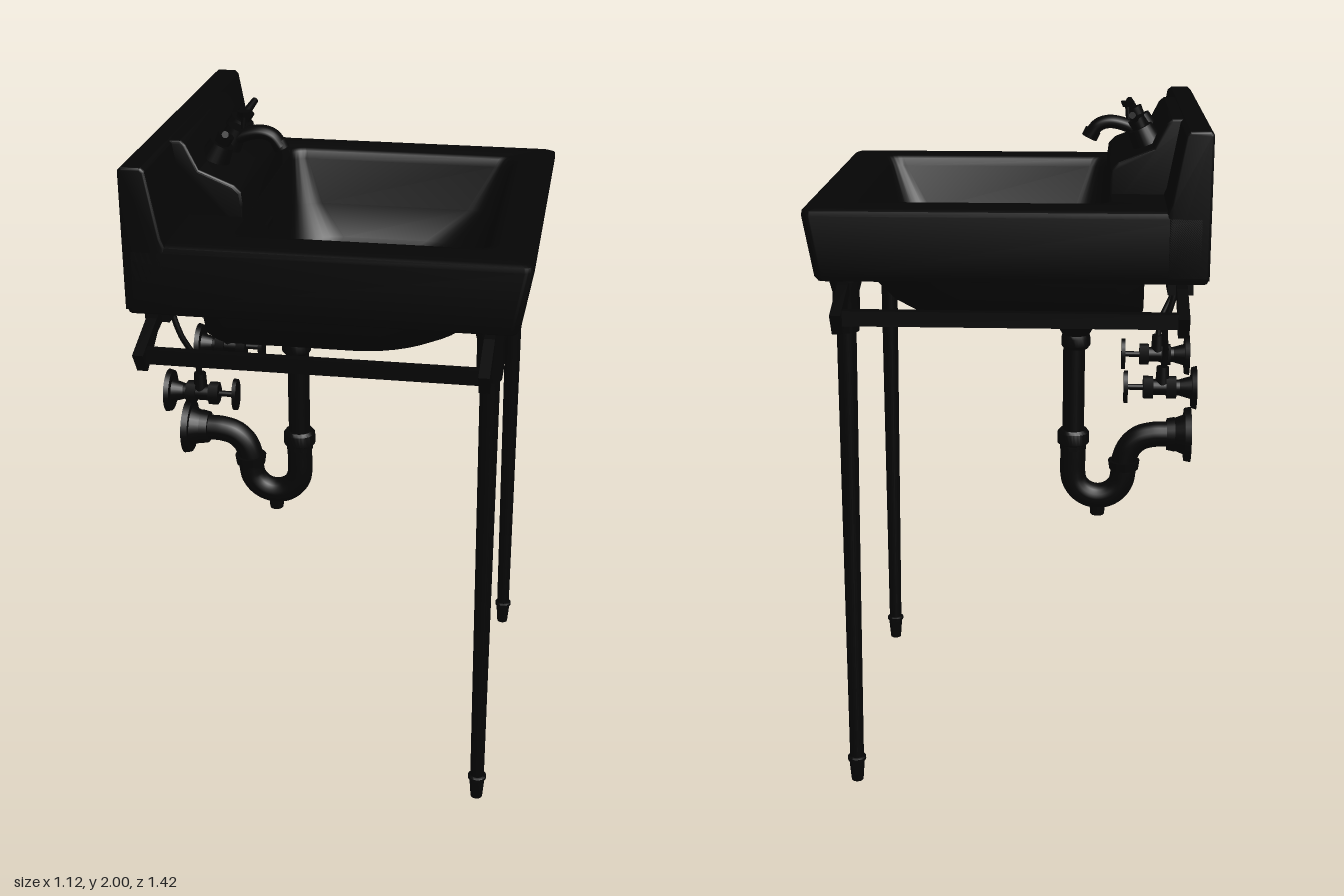
import * as THREE from 'three';
import { mergeVertices, toCreasedNormals } from 'three/addons/utils/BufferGeometryUtils.js';

const mat = new THREE.MeshStandardMaterial({ color: 0x050505 });
const V = (x, y, z) => new THREE.Vector3(x, y, z);

function add(parent, geo, name, x = 0, y = 0, z = 0) {
  const m = new THREE.Mesh(geo, mat);
  m.name = name;
  m.position.set(x, y, z);
  parent.add(m);
  return m;
}

// Cylinder between two points
function rod(parent, a, b, ra, rb, name, seg = 24) {
  const dir = b.clone().sub(a);
  const m = add(parent, new THREE.CylinderGeometry(rb, ra, dir.length(), seg), name);
  m.position.copy(a).add(b).multiplyScalar(0.5);
  m.quaternion.setFromUnitVectors(V(0, 1, 0), dir.normalize());
  return m;
}

function tube(parent, pts, r, name, seg = 64) {
  return add(parent, new THREE.TubeGeometry(new THREE.CatmullRomCurve3(pts), seg, r, 16), name);
}

const lathe = pts => toCreasedNormals(
  new THREE.LatheGeometry(pts.map(p => new THREE.Vector2(...p)), 28), 0.7);

// Profile in x/y extruded symmetrically along z
function slab(parent, pts, halfZ, bevel, name) {
  const s = new THREE.Shape(pts.map(p => new THREE.Vector2(...p)));
  const depth = 2 * (halfZ - bevel);
  const g = new THREE.ExtrudeGeometry(s, {
    depth, bevelEnabled: bevel > 0, bevelSize: bevel, bevelOffset: -bevel,
    bevelThickness: bevel, bevelSegments: 3
  });
  g.translate(0, 0, -depth / 2);
  return add(parent, toCreasedNormals(g, 0.6), name);
}

// Stacked rounded rectangles: [y, xMin, xMax, zHalf, front radius, back radius]
function loft(rings) {
  const pos = [], idx = [], per = 12, n = per * 4;
  for (const [y, x0, x1, zh, r, rb = r] of rings) {
    const cs = [[x1 - r, zh - r, r], [x0 + rb, zh - rb, rb], [x0 + rb, rb - zh, rb], [x1 - r, r - zh, r]];
    cs.forEach(([cx, cz, rad], q) => {
      for (let k = 0; k < per; k++) {
        const a = (q + k / (per - 1)) * Math.PI / 2;
        pos.push(cx + rad * Math.cos(a), y, cz + rad * Math.sin(a));
      }
    });
  }
  for (let j = 0; j < rings.length - 1; j++)
    for (let i = 0; i < n; i++) {
      const a = j * n + i, b = j * n + (i + 1) % n;
      idx.push(a, a + n, b, b, a + n, b + n);
    }
  const g = new THREE.BufferGeometry();
  g.setAttribute('position', new THREE.Float32BufferAttribute(pos, 3));
  g.setIndex(idx);
  return toCreasedNormals(mergeVertices(g), 0.75);
}

export function createModel() {
  const model = new THREE.Group();
  model.name = 'washbasin';

  // Basin: underside of the bowl, apron, rim, then the inside of the bowl
  add(model, loft([
    [1.316, -0.08, -0.07, 0.002, 0.001],
    [1.317, -0.13, 0.0, 0.035, 0.034],
    [1.325, -0.2, 0.1, 0.06, 0.058],
    [1.345, -0.27, 0.18, 0.085, 0.08],
    [1.36, -0.36, 0.215, 0.13, 0.125, 0.06],
    [1.37, -0.375, 0.24, 0.2, 0.18, 0.08],
    [1.385, -0.382, 0.275, 0.27, 0.24, 0.08],
    [1.41, -0.388, 0.32, 0.35, 0.28, 0.08],
    [1.45, -0.39, 0.36, 0.415, 0.28, 0.08],
    [1.5, -0.39, 0.395, 0.442, 0.26, 0.08],
    [1.57, -0.39, 0.415, 0.45, 0.2, 0.08],
    [1.57, -0.555, 0.515, 0.555, 0.02],
    [1.582, -0.56, 0.525, 0.56, 0.025],
    [1.75, -0.56, 0.555, 0.56, 0.025],
    [1.764, -0.56, 0.553, 0.557, 0.025],
    [1.77, -0.558, 0.54, 0.545, 0.025],
    [1.77, -0.292, 0.44, 0.44, 0.05],
    [1.762, -0.285, 0.43, 0.43, 0.05],
    [1.74, -0.28, 0.42, 0.422, 0.05],
    [1.6, -0.272, 0.38, 0.4, 0.09],
    [1.5, -0.265, 0.32, 0.365, 0.16],
    [1.44, -0.255, 0.24, 0.3, 0.18, 0.12],
    [1.41, -0.245, 0.13, 0.2, 0.16, 0.12],
    [1.39, -0.23, -0.04, 0.08, 0.07],
    [1.385, -0.19, -0.185, 0.002, 0.001]
  ]), 'basin');
  add(model, new THREE.CylinderGeometry(0.04, 0.04, 0.012, 24), 'drainStrainer', -0.19, 1.39, 0);
  add(model, new THREE.BoxGeometry(0.012, 0.018, 0.09), 'overflowSlot', -0.274, 1.66, 0);

  // Backsplash and the raised faucet ledge
  slab(model, [[-0.56, 1.58], [-0.56, 1.975], [-0.55, 1.985], [-0.495, 1.985], [-0.484, 1.975],
    [-0.45, 1.79], [-0.44, 1.765], [-0.44, 1.58]], 0.56, 0.008, 'backsplash');
  slab(model, [[-0.53, 1.7], [-0.53, 1.983], [-0.46, 1.983], [-0.445, 1.97], [-0.41, 1.9], [-0.31, 1.86],
    [-0.29, 1.84], [-0.285, 1.8], [-0.285, 1.72]], 0.28, 0.008, 'faucetLedge');

  // Faucet
  const faucet = new THREE.Group();
  faucet.name = 'faucet';
  model.add(faucet);
  rod(faucet, V(-0.4, 1.87, 0), V(-0.36, 1.95, 0), 0.042, 0.03, 'spoutBase');
  tube(faucet, [V(-0.4, 1.89, 0), V(-0.35, 1.925, 0), V(-0.29, 1.94, 0), V(-0.255, 1.93, 0),
    V(-0.23, 1.9, 0)], 0.02, 'spout').scale.z = 1.5;
  rod(faucet, V(-0.239, 1.915, 0), V(-0.228, 1.892, 0), 0.024, 0.024, 'spoutTip');
  rod(faucet, V(-0.345, 1.93, 0), V(-0.34, 1.985, 0), 0.007, 0.007, 'popUpStem');
  add(faucet, new THREE.CylinderGeometry(0.02, 0.014, 0.016, 20), 'popUpKnob', -0.34, 1.992, 0);
  for (const s of [-1, 1]) {
    rod(faucet, V(-0.4, 1.89, s * 0.135), V(-0.375, 1.94, s * 0.135), 0.046, 0.036, 'handleBase');
    rod(faucet, V(-0.375, 1.94, s * 0.135), V(-0.362, 1.965, s * 0.135), 0.022, 0.025, 'handleHub');
    rod(faucet, V(-0.365, 1.958, s * 0.125), V(-0.35, 1.982, s * 0.195), 0.013, 0.01, 'handleLever');
  }

  for (const s of [-1, 1]) {
    // Front legs with sockets and feet
    const leg = new THREE.Group();
    leg.name = 'frontLeg';
    model.add(leg);
    rod(leg, V(0.455, 0.06, s * 0.509), V(0.446, 1.44, s * 0.496), 0.021, 0.028, 'legTube');
    add(leg, lathe([[0, 0], [0.018, 0], [0.023, 0.06], [0.023, 0.068], [0.028, 0.07],
      [0.028, 0.078], [0.022, 0.082], [0, 0.082]]), 'foot', 0.455, 0, s * 0.509);
    add(leg, lathe([[0, 1.415], [0.034, 1.415], [0.038, 1.45], [0.038, 1.53], [0.046, 1.56],
      [0.046, 1.58], [0, 1.58]]), 'legSocket', 0.445, 0, s * 0.493);

    // Towel rail with flared brackets
    const rail = new THREE.Group();
    rail.name = 'towelRail';
    model.add(rail);
    const shape = new THREE.Shape([[0.48, 1.575], [0.48, 1.535], [0.555, 1.52], [0.67, 1.45],
      [0.708, 1.51], [0.56, 1.56]].map(p => new THREE.Vector2(...p)));
    const bracket = new THREE.ExtrudeGeometry(shape, { depth: 0.03, bevelEnabled: false });
    bracket.translate(0, 0, -0.015);
    for (const x of [-0.487, 0.445])
      add(rail, bracket, 'railBracket', x).rotation.y = -s * Math.PI / 2;
    add(rail, new THREE.BoxGeometry(0.932, 0.042, 0.026), 'railBar', -0.021, 1.496, s * 0.667);
    add(rail, new THREE.BoxGeometry(0.07, 0.05, 0.1), 'wallLug', -0.485, 1.555, s * 0.46);

    // Water supply: wall flange, valve, wheel and riser
    const supply = new THREE.Group();
    supply.name = 'waterSupply';
    model.add(supply);
    const z = s * 0.187, y = 1.17;
    const xr = s > 0 ? -0.53 : -0.485;
    rod(supply, V(-0.56, y, z), V(-0.545, y, z), 0.066, 0.062, 'wallFlange', 32);
    rod(supply, V(-0.545, y, z), V(-0.51, y, z), 0.035, 0.025, 'flangeCollar');
    rod(supply, V(-0.52, y, z), V(-0.42, y, z), 0.024, 0.024, 'valveBody');
    for (const x of [-0.5, -0.43])
      rod(supply, V(x, y, z), V(x + 0.03, y, z), 0.035, 0.035, 'valveNut', 6);
    rod(supply, V(-0.42, y, z), V(-0.345, y, z), 0.009, 0.009, 'valveStem');
    rod(supply, V(-0.354, y, z), V(-0.342, y, z), 0.05, 0.05, 'valveWheel', 28).scale.z = 0.75;
    rod(supply, V(-0.458, y, z), V(-0.458, 1.235, z), 0.022, 0.018, 'riserNut');
    tube(supply, [V(-0.458, 1.22, z), V(-0.465, 1.28, s * 0.195), V(xr + 0.025, 1.37, s * 0.215),
      V(xr, 1.47, s * 0.215), V(xr + 0.01, 1.57, s * 0.2)], 0.009, 'riser', 40);
    rod(supply, V(xr + 0.01, 1.53, s * 0.2), V(xr + 0.01, 1.58, s * 0.2), 0.02, 0.032, 'riserTopNut', 12);
  }

  // Drain and trap
  const drain = new THREE.Group();
  drain.name = 'drain';
  model.add(drain);
  add(drain, lathe([[0, 1.24], [0.037, 1.24], [0.045, 1.25], [0.045, 1.275], [0.042, 1.285],
    [0.062, 1.32], [0.08, 1.36], [0.08, 1.375], [0, 1.375]]), 'drainCone', -0.195, 0, 0);
  rod(drain, V(-0.19, 0.9, 0), V(-0.19, 1.26, 0), 0.034, 0.034, 'tailPipe');
  const trap = [V(-0.19, 0.95, 0), V(-0.19, 0.89, 0)];
  for (let i = 0; i <= 8; i++) {
    const a = Math.PI * i / 8;
    trap.push(V(-0.27 + 0.08 * Math.cos(a), 0.83 - 0.08 * Math.sin(a), 0));
  }
  trap.push(V(-0.352, 0.87, 0), V(-0.368, 0.915, 0), V(-0.4, 0.946, 0), V(-0.44, 0.958, 0),
    V(-0.48, 0.96, 0), V(-0.55, 0.96, 0));
  tube(drain, trap, 0.04, 'trap', 110);
  add(drain, lathe([[0, 0.91], [0.042, 0.91], [0.042, 0.925], [0.05, 0.93], [0.05, 0.965],
    [0.042, 0.975], [0, 0.975]]), 'trapCoupling', -0.19, 0, 0);
  add(drain, new THREE.CylinderGeometry(0.05, 0.046, 0.028, 24), 'trapNut', -0.352, 0.858, 0);
  rod(drain, V(-0.27, 0.688, 0), V(-0.27, 0.73, 0), 0.022, 0.026, 'cleanoutPlug', 8);
  rod(drain, V(-0.51, 0.96, 0), V(-0.485, 0.96, 0), 0.055, 0.05, 'wallNut');
  rod(drain, V(-0.54, 0.96, 0), V(-0.505, 0.96, 0), 0.064, 0.05, 'wallCollar');
  rod(drain, V(-0.56, 0.96, 0), V(-0.54, 0.96, 0), 0.088, 0.084, 'wallFlange', 32);

  return model;
}
